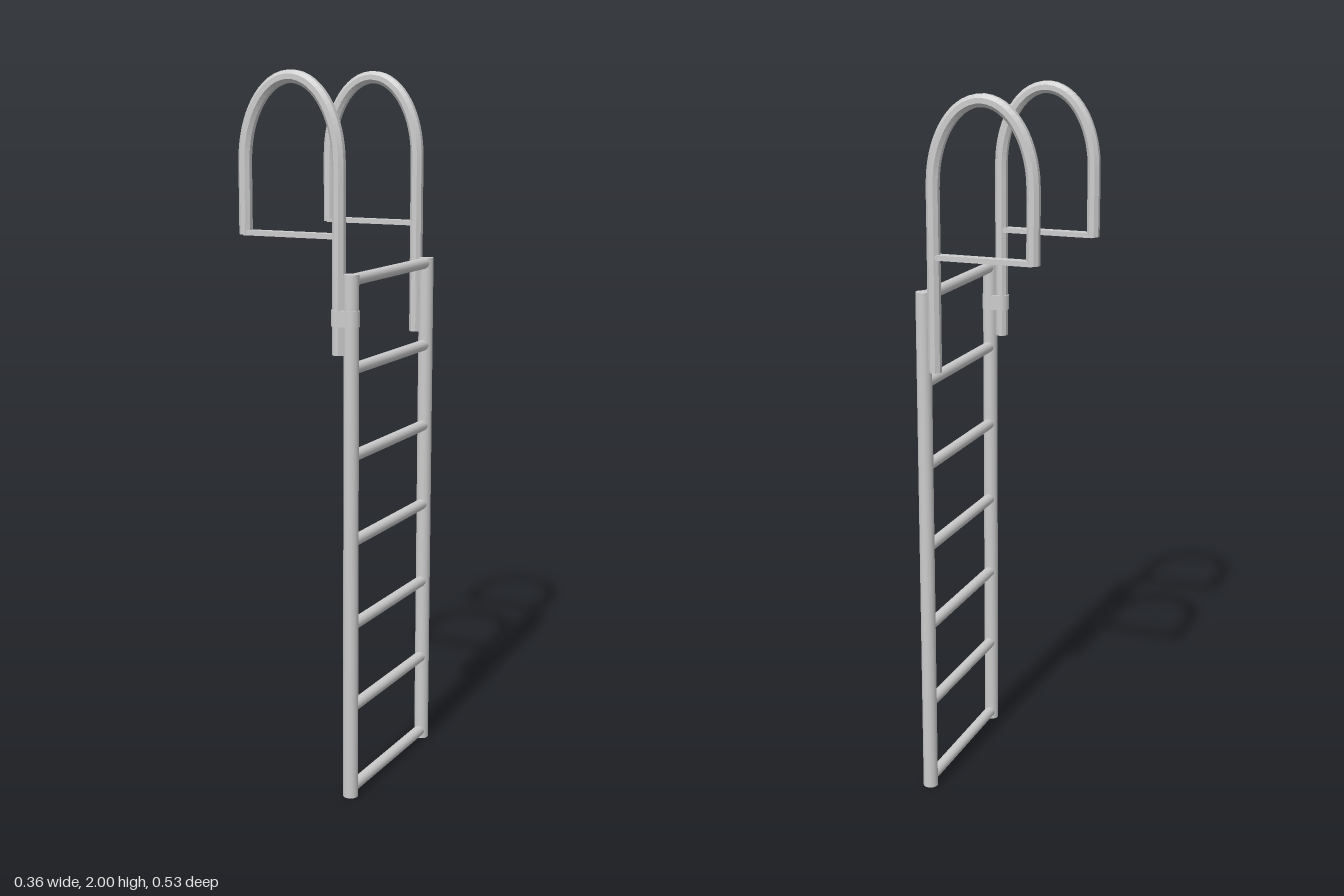
import * as THREE from 'three';

const material = new THREE.MeshStandardMaterial({ color: 0xcccccc });
const RAIL_X = 0.153, RAIL_Z = 0.24, RAIL_R = 0.021;
const GRIP_X = 0.117, GRIP_R = 0.0185;

function add(parent, name, geometry, x = 0, y = 0, z = 0) {
  const mesh = new THREE.Mesh(geometry, material);
  mesh.name = name;
  mesh.position.set(x, y, z);
  parent.add(mesh);
  return mesh;
}

// Hoop path: long inner leg, elliptical arch, short outer leg
function hoopPath() {
  const cx = -0.024, a = GRIP_X - cx, springY = 1.76, b = 0.222;
  const points = [];
  for (const y of [1.255, 1.4, 1.55, 1.68]) points.push(new THREE.Vector3(GRIP_X, y, 0));
  for (let i = 0; i <= 16; i++) {
    const t = (i / 16) * Math.PI;
    points.push(new THREE.Vector3(cx + a * Math.cos(t), springY + b * Math.sin(t), 0));
  }
  for (const y of [1.68, 1.565]) points.push(new THREE.Vector3(cx - a, y, 0));
  return new THREE.CatmullRomCurve3(points);
}

// Eight-sided tube section with flats facing outward
function octagon(radius) {
  const corners = [];
  for (let i = 0; i < 8; i++) {
    const t = ((i + 0.5) / 8) * Math.PI * 2;
    corners.push(new THREE.Vector2(radius * Math.cos(t), radius * Math.sin(t)));
  }
  return new THREE.Shape(corners);
}

function handrail(z) {
  const group = new THREE.Group();
  group.name = 'handrail';
  group.position.z = z;
  add(group, 'hoop', new THREE.ExtrudeGeometry(octagon(GRIP_R), {
    steps: 72, extrudePath: hoopPath(),
  }));
  // Flat bar closing the hoop
  add(group, 'crossBar', new THREE.BoxGeometry(0.285, 0.014, 0.03), -0.024, 1.57, 0);
  return group;
}

// Rounded band wrapping a rail and the handrail leg
function clampGeometry() {
  const r = 0.0215, x0 = GRIP_X, x1 = RAIL_X + 0.002;
  const shape = new THREE.Shape();
  shape.absarc(x1, 0, r, -Math.PI / 2, Math.PI / 2, false);
  shape.absarc(x0, 0, r, Math.PI / 2, Math.PI * 1.5, false);
  shape.closePath();
  const geometry = new THREE.ExtrudeGeometry(shape, { depth: 0.043, bevelEnabled: false, curveSegments: 16 });
  return geometry.rotateX(-Math.PI / 2);
}

export function createModel() {
  const model = new THREE.Group();
  model.name = 'ladder';

  // Side rails
  const railHeight = 1.472;
  for (const side of [-1, 1]) {
    add(model, 'sideRail', new THREE.CylinderGeometry(RAIL_R, RAIL_R, railHeight, 32),
      RAIL_X, railHeight / 2, side * RAIL_Z);
  }

  // Rungs
  for (let i = 0; i < 7; i++) {
    const rung = add(model, 'rung', new THREE.CylinderGeometry(0.016, 0.016, RAIL_Z * 2 - 0.02, 24),
      RAIL_X, 0.023 + i * 0.239, 0);
    rung.rotation.x = Math.PI / 2;
  }

  // Hooped handrails, with a clamp on the front one
  model.add(handrail(0.242), handrail(-0.248));
  add(model, 'clamp', clampGeometry(), 0, 1.333, 0.2415);

  return model;
}
